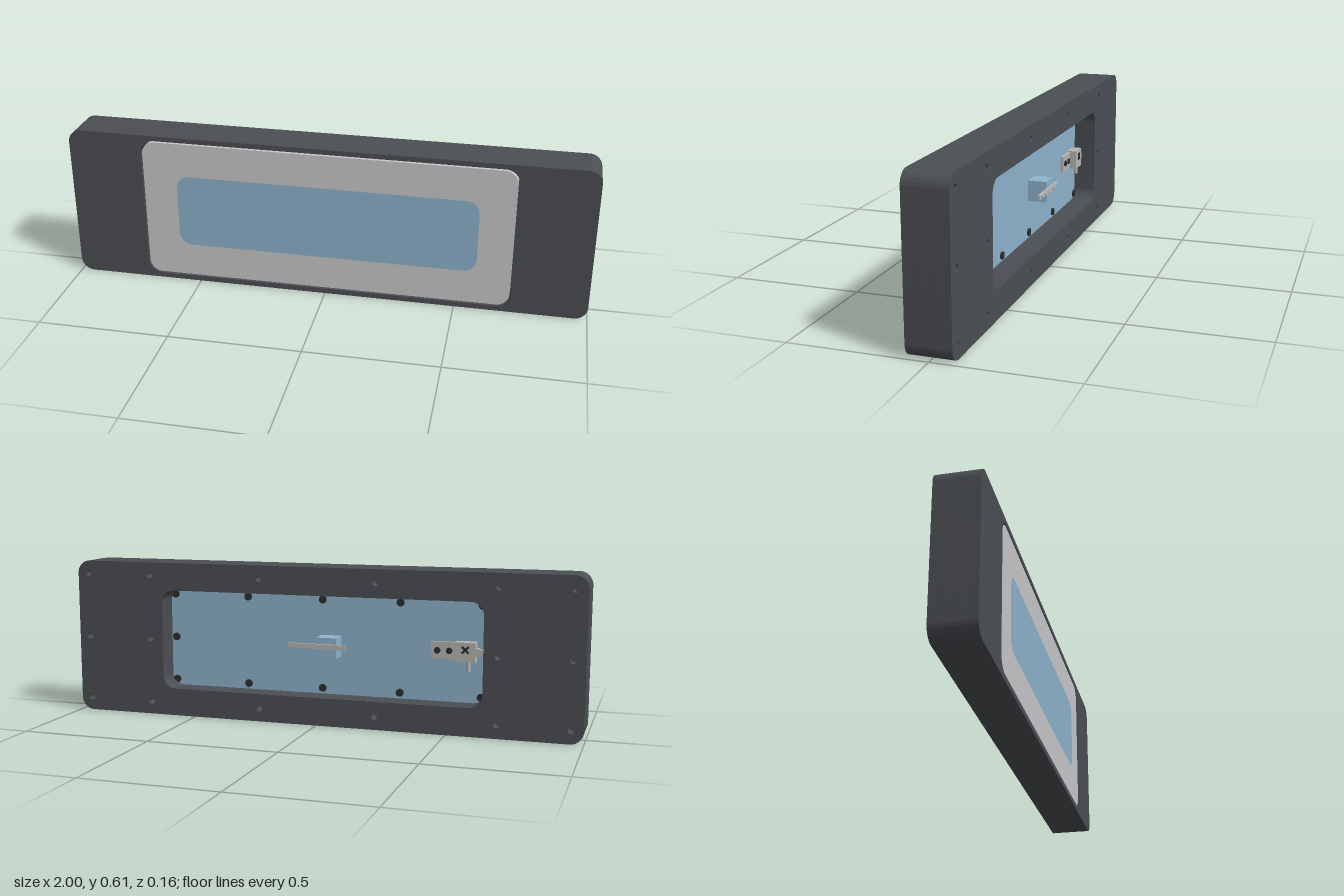
import * as THREE from 'three';
import { toCreasedNormals } from 'three/addons/utils/BufferGeometryUtils.js';

const CY = 0.3025; // mid height of the whole unit

const mat = (name, color) => {
  const m = new THREE.MeshStandardMaterial({ color });
  m.name = name;
  return m;
};

// Rounded rectangle centred on the unit's axis
function roundedRect(w, h, r, Type = THREE.Shape) {
  const s = new Type(), x = w / 2, y = h / 2;
  s.moveTo(-x + r, -y);
  s.lineTo(x - r, -y);
  s.absarc(x - r, -y + r, r, -Math.PI / 2, 0);
  s.lineTo(x, y - r);
  s.absarc(x - r, y - r, r, 0, Math.PI / 2);
  s.lineTo(-x + r, y);
  s.absarc(-x + r, y - r, r, Math.PI / 2, Math.PI);
  s.lineTo(-x, -y + r);
  s.absarc(-x + r, -y + r, r, Math.PI, Math.PI * 1.5);
  return s;
}

const circle = (x, y, r) => new THREE.Path().absarc(x, y, r, 0, Math.PI * 2);

export function createModel() {
  const group = new THREE.Group();
  const dark = mat('dark housing', 0x4b4e53);
  const grey = mat('light grey frame', 0xc8c8ca);
  const blue = mat('blue glass', 0x8fb3cd);
  const metal = mat('bracket metal', 0xb9b6b2);
  const black = mat('black screw', 0x2b2d30);

  const add = (name, geo, m, x = 0, y = 0, z = 0) => {
    const mesh = new THREE.Mesh(geo, m);
    mesh.name = name;
    mesh.position.set(x, CY + y, z);
    group.add(mesh);
    return mesh;
  };
  // Slab from z0 to z1 with optional holes
  const slab = (name, shape, holes, z0, z1, m) => {
    shape.holes.push(...holes);
    const geo = new THREE.ExtrudeGeometry(shape, { depth: z1 - z0, bevelEnabled: false, curveSegments: 10 });
    return add(name, toCreasedNormals(geo, 0.6), m, 0, 0, z0);
  };
  const box = (name, w, h, d, m, x, y, z) => add(name, new THREE.BoxGeometry(w, h, d), m, x, y, z);
  const disc = (name, r, d, m, x, y, z) => {
    const mesh = add(name, new THREE.CylinderGeometry(r, r, d, 16), m, x, y, z);
    mesh.rotation.x = Math.PI / 2;
    return mesh;
  };

  // Housing: back layer with blind screw holes, middle layer, front rim
  const outline = () => roundedRect(2, 0.605, 0.05);
  const opening = () => roundedRect(1.27, 0.39, 0.05, THREE.Path);
  const screwHoles = [];
  for (const sx of [-1, 1]) {
    for (const x of [0.955, 0.6875])
      for (const y of [-0.252, 0, 0.252]) screwHoles.push(circle(sx * x, y, 0.012));
    for (const y of [-0.252, 0.252]) screwHoles.push(circle(sx * 0.23, y, 0.012));
  }
  slab('housingBack', outline(), [opening(), ...screwHoles], -0.08, -0.03, dark);
  slab('housingMiddle', outline(), [opening()], -0.03, 0.01, dark);
  slab('housingFront', outline(), [roundedRect(1.428, 0.566, 0.055, THREE.Path)], 0.01, 0.08, dark);

  // Front frame with the glass filling its window
  slab('frontFrame', roundedRect(1.416, 0.554, 0.05), [roundedRect(1.155, 0.29, 0.05, THREE.Path)], 0.05, 0.079, grey);
  slab('window', roundedRect(1.155, 0.29, 0.05), [], 0.05, 0.079, blue);
  slab('glassPlate', roundedRect(1.416, 0.554, 0.05), [], 0.01, 0.05, blue);

  // Screws round the edge of the glass plate, seen through the rear opening
  for (const y of [-0.172, 0.172])
    for (const x of [-0.615, -0.306, 0, 0.306, 0.615]) disc('plateScrew', 0.015, 0.008, black, x, y, 0.007);
  for (const x of [-0.615, 0.615]) disc('plateScrew', 0.015, 0.008, black, x, 0, 0.007);

  // Central boss carrying a slim cross bar
  box('boss', 0.08, 0.08, 0.075, blue, -0.035, -0.005, -0.0275);
  box('crossBar', 0.23, 0.018, 0.01, metal, 0, 0.002, -0.07);
  for (const x of [-0.09, -0.05, 0.05, 0.09]) disc('barScrew', 0.006, 0.004, metal, x, 0.002, -0.076);

  // Side latch: base plate, raised block, screws and pin
  box('latchPlate', 0.1, 0.065, 0.012, metal, -0.475, 0, 0.004);
  box('latchBlock', 0.075, 0.075, 0.04, metal, -0.56, 0, -0.01);
  box('latchTongue', 0.03, 0.03, 0.025, metal, -0.61, 0, -0.012);
  for (const x of [-0.45, -0.495]) disc('latchScrew', 0.012, 0.006, black, x, 0, -0.004);
  for (const a of [-1, 1]) box('latchSlot', 0.035, 0.008, 0.004, black, -0.56, 0.01, -0.031).rotation.z = a * Math.PI / 4;
  add('latchPin', new THREE.CylinderGeometry(0.008, 0.008, 0.04, 12), metal, -0.57, -0.05, -0.015);

  return group;
}
